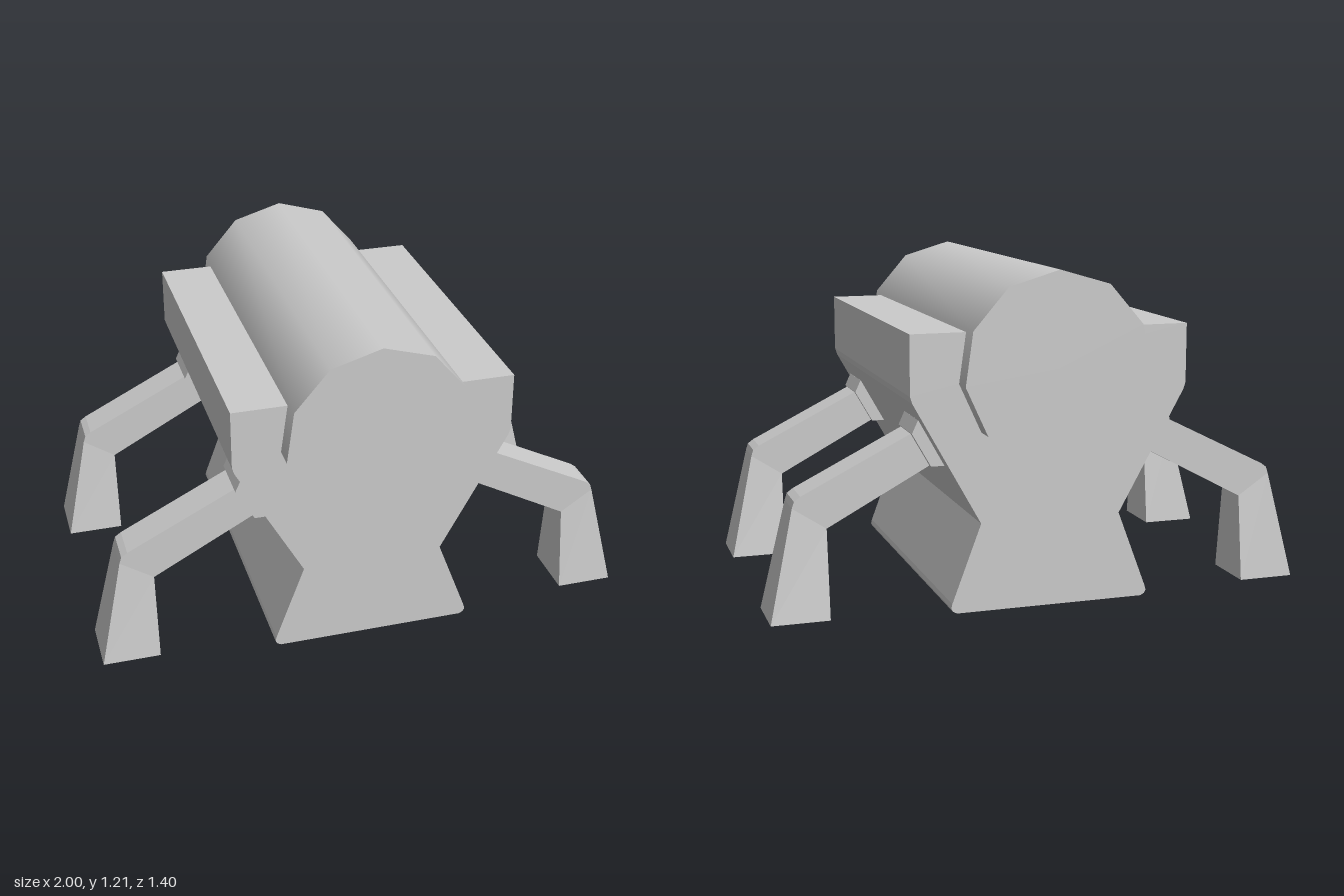
import * as THREE from 'three';

const mat = new THREE.MeshStandardMaterial({ color: 0xcccccc });
const flat = new THREE.MeshStandardMaterial({ color: 0xcccccc, flatShading: true });

// Extrude an x-y outline along z, centred on z = 0
function prism(points, depth) {
  const shape = new THREE.Shape(points.map(([x, y]) => new THREE.Vector2(x, y)));
  return new THREE.ExtrudeGeometry(shape, { depth, bevelEnabled: false }).translate(0, 0, -depth / 2);
}

// Leg swept through four-cornered sections: [outer x, outer y, inner x, inner y, half width]
function legGeometry() {
  const sections = [
    [1.0, 0, 0.79, 0, 0.11],
    [0.91, 0.4, 0.79, 0.32, 0.07],
    [0.902, 0.424, 0.79, 0.32, 0.07],
    [0.88, 0.44, 0.79, 0.32, 0.07],
    [0.44, 0.66, 0.38, 0.54, 0.07],
  ];
  const pos = [], index = [];
  for (const [ox, oy, ix, iy, w] of sections) {
    pos.push(ox, oy, w, ox, oy, -w, ix, iy, -w, ix, iy, w);
  }
  for (let s = 0; s < sections.length - 1; s++) {
    for (let k = 0; k < 4; k++) {
      const a = s * 4 + k, b = s * 4 + (k + 1) % 4;
      index.push(a, b, b + 4, a, b + 4, a + 4);
    }
  }
  const e = (sections.length - 1) * 4;
  index.push(0, 2, 1, 0, 3, 2, e, e + 1, e + 2, e, e + 2, e + 3);
  const g = new THREE.BufferGeometry();
  g.setAttribute('position', new THREE.Float32BufferAttribute(pos, 3));
  g.setIndex(index);
  g.computeVertexNormals();
  return g;
}

export function createModel() {
  const group = new THREE.Group();
  const add = (name, geometry, material, parent = group) => {
    const mesh = new THREE.Mesh(geometry, material);
    mesh.name = name;
    parent.add(mesh);
    return mesh;
  };

  // Waisted cradle body, mirrored half outline
  const half = [
    [0.35, 0], [0.365, 0.008], [0.371, 0.02], [0.367, 0.036],
    [0.26, 0.32], [0.505, 0.76], [0.513, 0.785], [0.513, 1.0],
  ];
  const outline = [...half, ...half.map(([x, y]) => [-x, y]).reverse()];
  add('body', prism(outline, 1.24), flat);

  // Eleven-sided drum lying along z
  const drum = new THREE.CylinderGeometry(0.342, 0.342, 1.4, 11).rotateX(-Math.PI / 2);
  add('drum', drum, mat).position.y = 0.87;

  // Four splayed legs with mounting brackets
  const leg = legGeometry();
  const bracket = prism([[0.36, 0.52], [0.42, 0.52], [0.488, 0.64], [0.466, 0.688], [0.42, 0.66]], 0.19);
  for (const side of [1, -1]) {
    for (const z of [0.45, -0.45]) {
      const unit = new THREE.Group();
      unit.name = `${side > 0 ? 'left' : 'right'}${z > 0 ? 'Front' : 'Back'}Leg`;
      unit.position.z = z;
      unit.rotation.y = side > 0 ? 0 : Math.PI;
      add('leg', leg, flat, unit);
      add('legBracket', bracket, flat, unit);
      group.add(unit);
    }
  }
  return group;
}
